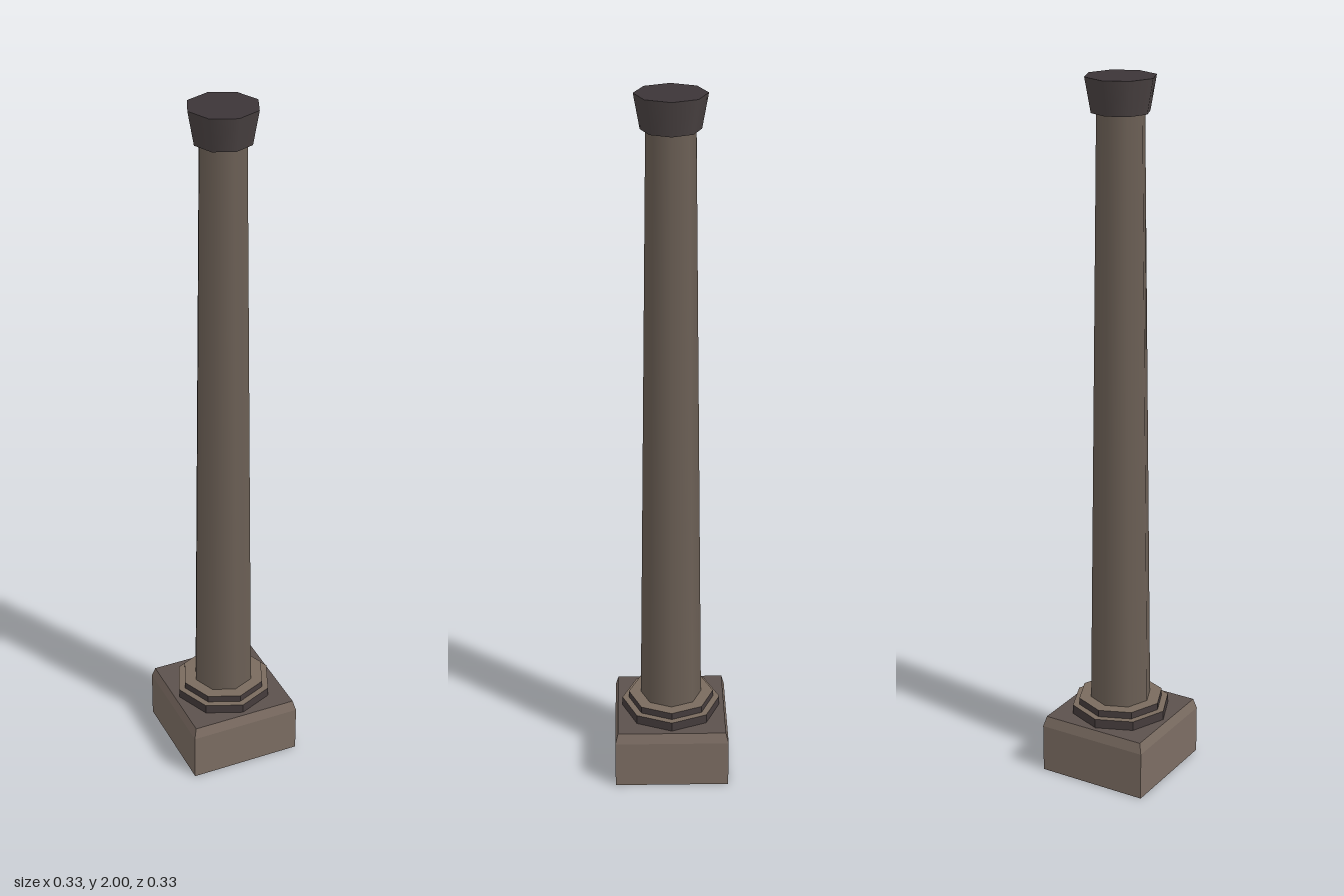
import * as THREE from 'three';

const paint = (color, flatShading) => new THREE.MeshStandardMaterial({ color, flatShading });

// Tapered prism from y0 to y1; corners of an octagon lie on the x and z axes
function prism(name, rBottom, rTop, y0, y1, sides, material, open = false) {
  const geo = new THREE.CylinderGeometry(rTop, rBottom, y1 - y0, sides, 1, open);
  if (sides === 4) geo.rotateY(Math.PI / 4);
  geo.translate(0, (y0 + y1) / 2, 0);
  const mesh = new THREE.Mesh(geo, material);
  mesh.name = name;
  return mesh;
}

export function createModel() {
  const column = new THREE.Group();
  column.name = 'column';

  const stone = paint(0x7c6d63, true);
  const plinthTop = paint(0x5c514d, true);
  const ringSide = paint(0x453c3c, true);
  const ringTop = paint(0x7a6b5e, true);
  const shaftStone = paint(0x6b5f55, false);
  const capitalSide = paint(0x4a4242, false);
  const capitalTop = paint(0x3c3538, false);

  // Square plinth with a chamfered upper edge
  const d = Math.SQRT2;
  column.add(prism('plinth', 0.163 * d, 0.163 * d, 0, 0.14, 4, stone));
  column.add(prism('plinthChamfer', 0.163 * d, 0.155 * d, 0.14, 0.17, 4, [stone, plinthTop, stone]));

  // Two stepped octagonal rings
  const ringMaterials = [ringSide, ringTop, ringSide];
  column.add(prism('lowerRing', 0.142, 0.142, 0.17, 0.197, 8, ringMaterials));
  column.add(prism('upperRing', 0.123, 0.123, 0.197, 0.217, 8, ringMaterials));

  // Tapering shaft
  column.add(prism('shaft', 0.088, 0.066, 0.217, 1.906, 8, shaftStone, true));

  // Flared capital
  column.add(prism('capital', 0.08, 0.097, 1.906, 2, 8, [capitalSide, capitalTop, capitalSide]));

  return column;
}
